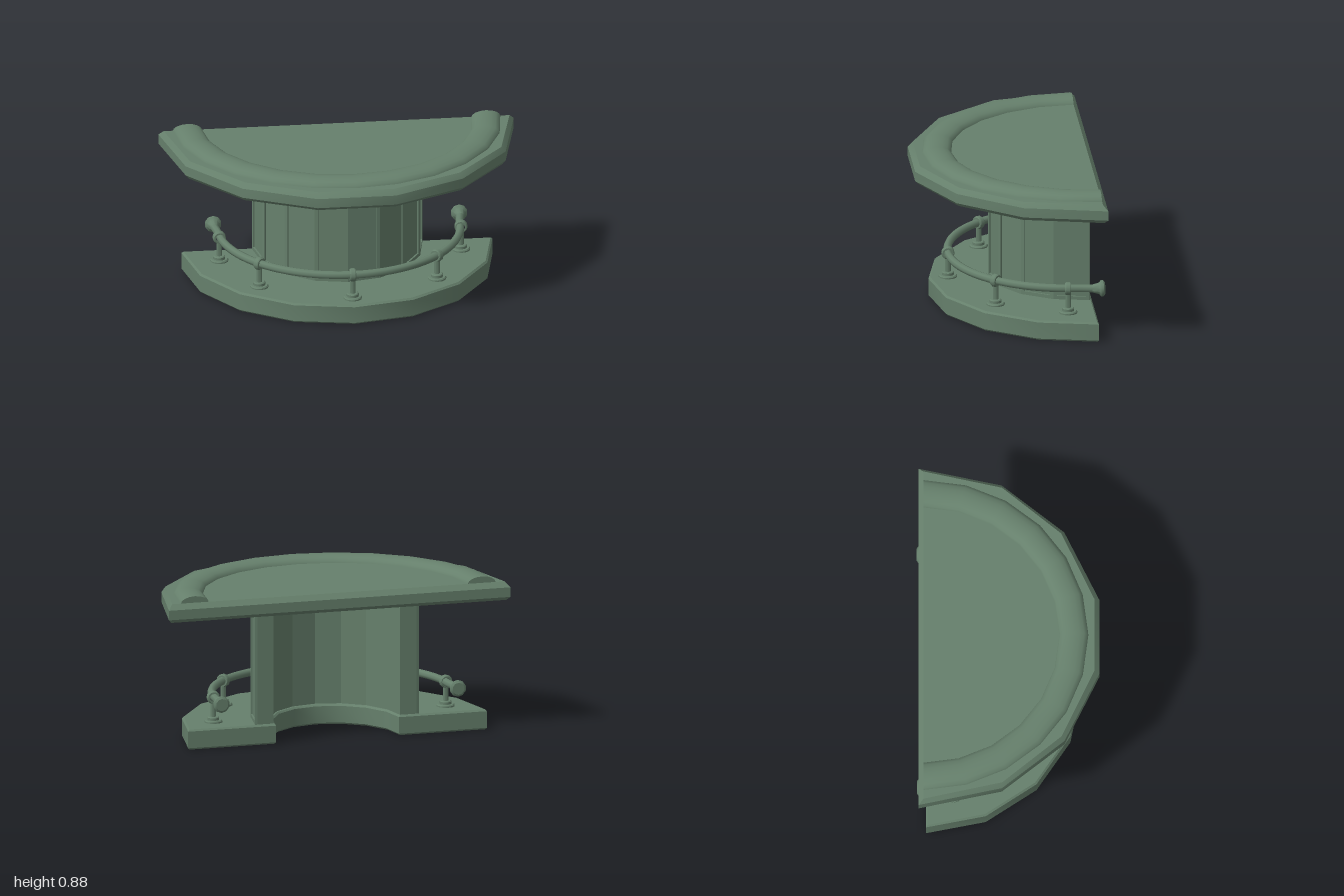
import * as THREE from 'three';
import { toCreasedNormals } from 'three/addons/utils/BufferGeometryUtils.js';

const material = new THREE.MeshStandardMaterial({ color: 0x66806c });

function add(parent, name, geometry, x = 0, y = 0, z = 0) {
  const mesh = new THREE.Mesh(geometry, material);
  mesh.name = name;
  mesh.position.set(x, y, z);
  parent.add(mesh);
  return mesh;
}

// Points on a half ellipse from +x over the front to -x, as [x, z]
function arc(rx, rz, cz, n) {
  return Array.from({ length: n + 1 }, (_, i) => {
    const a = (Math.PI * i) / n;
    return [rx * Math.cos(a), cz + rz * Math.sin(a)];
  });
}

// Floor plan extruded upwards from y0 to y1
function planSolid(points, y0, y1, bevel, crease) {
  const shape = new THREE.Shape(points.map(([x, z]) => new THREE.Vector2(x, -z)));
  const geo = new THREE.ExtrudeGeometry(shape, {
    depth: y1 - y0 - 2 * bevel, bevelEnabled: bevel > 0,
    bevelSize: bevel, bevelThickness: bevel, bevelOffset: -bevel, bevelSegments: 1,
  });
  geo.rotateX(-Math.PI / 2).translate(0, y0 + bevel, 0);
  return toCreasedNormals(geo, crease);
}

// Slab lofted from inset copies of one outline
function slab(outline, levels) {
  const pos = [], index = [], n = outline.length;
  for (const [inset, y] of levels)
    for (const [x, z] of outline) pos.push(x * (1 - inset), y, z * (1 - 2 * inset));
  for (let r = 0; r < levels.length - 1; r++)
    for (let i = 0; i < n; i++) {
      const a = r * n + i, b = r * n + ((i + 1) % n);
      index.push(a, a + n, b, b, a + n, b + n);
    }
  const top = (levels.length - 1) * n;
  for (let i = 1; i < n - 1; i++) {
    index.push(0, i, i + 1);
    index.push(top, top + i + 1, top + i);
  }
  const geo = new THREE.BufferGeometry();
  geo.setAttribute('position', new THREE.Float32BufferAttribute(pos, 3));
  geo.setIndex(index);
  return toCreasedNormals(geo, 0.5);
}

// Flat rectangular frame with an opening, facing +z, front at z = 0
function frame(w, h, side, low, high, depth) {
  const rect = (Cls, x0, y0, x1, y1) => new Cls([[x0, y0], [x1, y0], [x1, y1], [x0, y1]]
    .map(([x, y]) => new THREE.Vector2(x, y)));
  const shape = rect(THREE.Shape, -w / 2, 0, w / 2, h);
  shape.holes.push(rect(THREE.Path, -w / 2 + side, low, w / 2 - side, h - high));
  return new THREE.ExtrudeGeometry(shape, { depth, bevelEnabled: false }).translate(0, 0, -depth);
}

export function createModel() {
  const model = new THREE.Group();
  model.name = 'barCounter';

  // Horseshoe plinth
  add(model, 'base', planSolid(
    [...arc(0.875, 0.875, -0.46, 8), ...arc(0.36, 0.4, -0.46, 8).reverse()], 0, 0.115, 0.01, 0.5));

  // Hollow pedestal, with a recessed panel on each outer facet
  const pedestal = new THREE.Group();
  pedestal.name = 'pedestal';
  model.add(pedestal);
  const inset = 0.01, y0 = 0.11, height = 0.635;
  add(pedestal, 'pedestalCore', planSolid(
    [...arc(0.48 - inset, 0.525 - inset, -0.445, 8), ...arc(0.37, 0.41, -0.445, 8).reverse()],
    y0, y0 + height, 0, 0.3));
  const facets = arc(0.48, 0.525, -0.445, 8);
  for (let i = 0; i < 8; i++) {
    const [ax, az] = facets[i], [bx, bz] = facets[i + 1];
    const width = Math.hypot(bx - ax, bz - az);
    const panel = add(pedestal, 'panelFrame', frame(width, height, 0.02, 0.025, 0.025, 0.014),
      (ax + bx) / 2, y0, (az + bz) / 2);
    panel.rotation.y = Math.atan2(bz - az, ax - bx);
  }

  // Counter top with chamfered edges
  const half = [[1, -0.5], [0.9, -0.035], [0.62, 0.315], [0.22, 0.51]];
  const outline = [...half, ...half.map(([x, z]) => [-x, z]).reverse()];
  add(model, 'counterTop', slab(outline, [[0.02, 0.74], [0, 0.76], [0, 0.815], [0.027, 0.845]]));

  // Padded armrest around the curved side, with flat ends
  const profile = Array.from({ length: 9 }, (_, i) => {
    const a = (Math.PI * i) / 8;
    return new THREE.Vector2(0.84 + 0.082 * Math.cos(a), 0.843 + 0.039 * Math.sin(a));
  });
  add(model, 'armrest', new THREE.LatheGeometry(profile, 12, -Math.PI / 2, Math.PI), 0, 0, -0.472);
  for (const s of [-1, 1]) {
    const end = new THREE.ShapeGeometry(new THREE.Shape(
      profile.map((p) => new THREE.Vector2(p.x - 0.84, p.y)))).rotateY(Math.PI);
    add(model, 'armrestEnd', end, s * 0.84, 0, -0.472);
  }

  // Foot rail
  const rail = new THREE.Group();
  rail.name = 'footRail';
  model.add(rail);
  const railY = 0.256;
  const path = [[0.695, -0.47], ...arc(0.68, 0.68, -0.375, 16), [-0.695, -0.47]]
    .map(([x, z]) => new THREE.Vector3(x, railY, z));
  add(rail, 'railTube', new THREE.TubeGeometry(new THREE.CatmullRomCurve3(path), 64, 0.023, 8));

  // Flared knobs at the rail ends, pointing backwards
  const knob = [[0.023, 0], [0.034, 0.04], [0.047, 0.05], [0.047, 0.063], [0.035, 0.072], [0, 0.072]]
    .map(([r, y]) => new THREE.Vector2(r, y));
  for (const s of [-1, 1]) {
    const geo = toCreasedNormals(new THREE.LatheGeometry(knob, 10).rotateX(-Math.PI / 2), 0.65);
    add(rail, 'railKnob', geo, s * 0.692, railY, -0.438);
  }

  // Posts with stepped feet and a collar around the rail
  const foot = [[0.052, 0.11], [0.052, 0.122], [0.047, 0.128], [0.034, 0.128], [0.034, 0.142],
    [0.029, 0.147], [0.016, 0.147], [0.016, 0.24]].map(([r, y]) => new THREE.Vector2(r, y));
  const collar = [[0.022, -0.017], [0.032, -0.017], [0.037, -0.01], [0.037, 0.01], [0.032, 0.017],
    [0.022, 0.017]].map(([r, y]) => new THREE.Vector2(r, y));
  for (const [x, z, turn] of [[0, 0.305, 0], [0.5, 0.085, 0.83], [-0.5, 0.085, -0.83],
    [0.68, -0.305, 1.47], [-0.68, -0.305, -1.47]]) {
    add(rail, 'railPost', toCreasedNormals(new THREE.LatheGeometry(foot, 12), 0.65), x, 0, z);
    const ring = toCreasedNormals(new THREE.LatheGeometry(collar, 12).rotateZ(Math.PI / 2), 0.65);
    add(rail, 'railCollar', ring, x, railY, z).rotation.y = turn;
  }
  return model;
}
